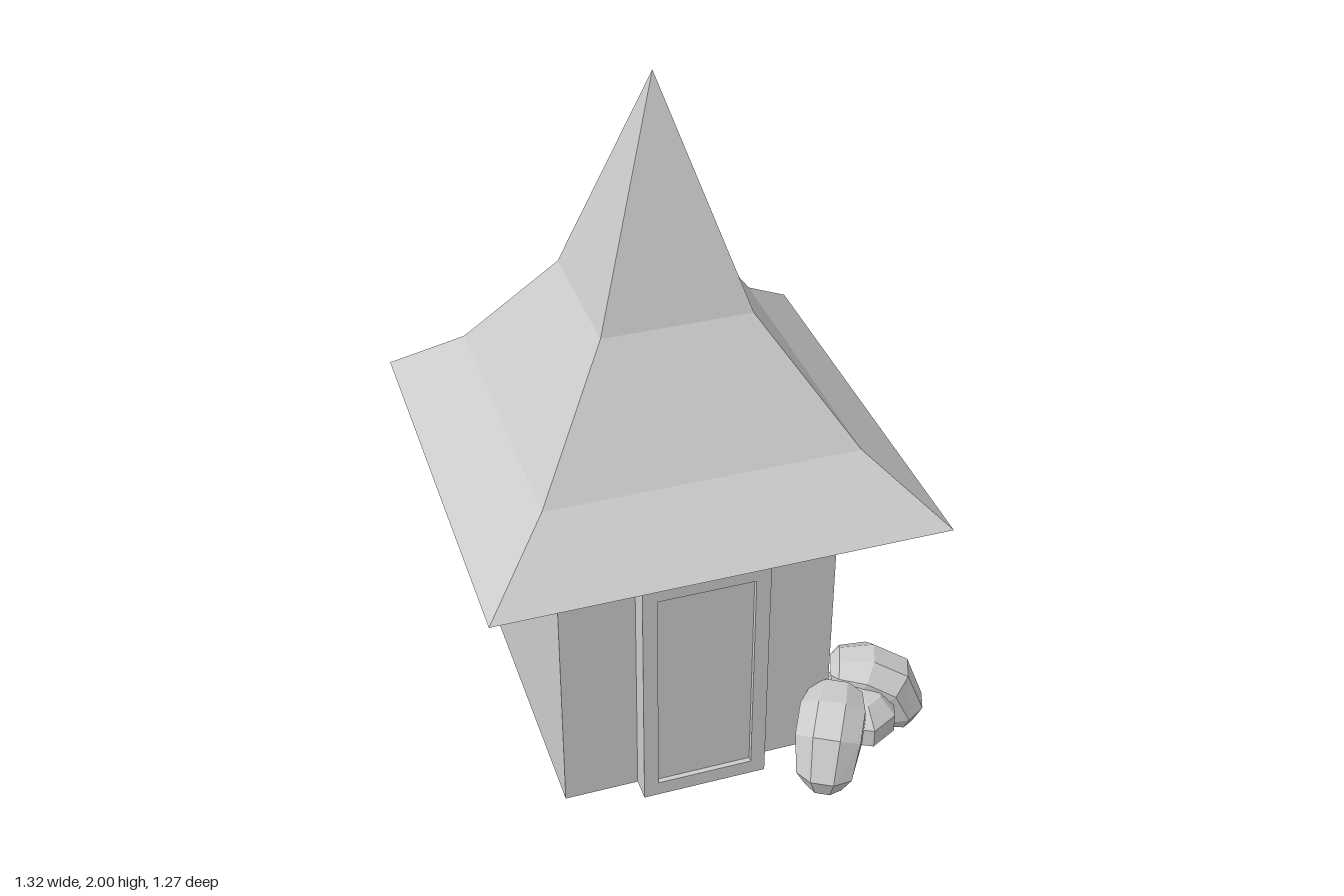
import * as THREE from 'three';

const material = new THREE.MeshStandardMaterial({ color: 0xcccccc, flatShading: true });
const CX = -0.05, CZ = -0.03; // centre of the hut

function add(group, name, geometry, x = 0, y = 0, z = 0) {
  const mesh = new THREE.Mesh(geometry, material);
  mesh.name = name;
  mesh.position.set(x, y, z);
  group.add(mesh);
  return mesh;
}

function rectangle(target, x0, y0, x1, y1) {
  target.moveTo(x0, y0).lineTo(x1, y0).lineTo(x1, y1).lineTo(x0, y1).closePath();
  return target;
}

// Bean-shaped boulder: rings of [outer u, outer y, inner u, inner y, half width],
// with u running along the horizontal direction of lean
const RINGS = [
  [0.025, 0.012, 0.115, 0.01, 0.055],
  [0.0, 0.075, 0.135, 0.045, 0.085],
  [0.05, 0.2, 0.17, 0.09, 0.1],
  [0.15, 0.25, 0.22, 0.12, 0.1],
  [0.25, 0.24, 0.25, 0.14, 0.08],
  [0.275, 0.215, 0.27, 0.165, 0.05],
];

function boulderGeometry(angle) {
  const sides = 8, positions = [], index = [];
  const dx = Math.cos(angle), dz = Math.sin(angle);
  const put = (u, y, w) => positions.push(u * dx - w * dz, y, u * dz + w * dx);
  for (const [ou, oy, iu, iy, width] of RINGS) {
    for (let k = 0; k < sides; k++) {
      const a = ((k + 0.5) / sides) * Math.PI * 2;
      const c = Math.cos(a) / Math.cos(Math.PI / sides) / 2;
      put((ou + iu) / 2 + c * (ou - iu), (oy + iy) / 2 + c * (oy - iy), Math.sin(a) * width);
    }
  }
  const last = RINGS.length - 1;
  for (let k = 0; k < sides; k++) {
    const n = (k + 1) % sides;
    for (let i = 0; i < last; i++) {
      const r = i * sides, s = r + sides;
      index.push(r + k, r + n, s + n, r + k, s + n, s + k);
    }
    // End caps
    if (k > 0 && k < sides - 1) {
      index.push(0, n, k, last * sides, last * sides + k, last * sides + n);
    }
  }
  const geometry = new THREE.BufferGeometry();
  geometry.setAttribute('position', new THREE.Float32BufferAttribute(positions, 3));
  geometry.setIndex(index);
  geometry.computeVertexNormals();
  return geometry;
}

export function createModel() {
  const model = new THREE.Group();
  model.name = 'hut';

  // Square walls
  add(model, 'walls', new THREE.BoxGeometry(0.785, 0.866, 0.79), CX, 0.433, CZ);

  // Flared four-sided roof with a shallow underside
  const profile = [[0, 0.865], [0.395, 0.865], [0.62, 0.885], [0.43, 1.055], [0.205, 1.385], [0, 2]]
    .map(([half, y]) => new THREE.Vector2(half * Math.SQRT2, y));
  add(model, 'roof', new THREE.LatheGeometry(profile, 4), CX, 0, CZ).rotation.y = Math.PI / 4;

  // Door frame with a slightly sunken door
  const frame = rectangle(new THREE.Shape(), -0.18, 0, 0.18, 0.75);
  frame.holes.push(rectangle(new THREE.Path(), -0.138, 0.045, 0.138, 0.71));
  add(model, 'doorFrame', new THREE.ExtrudeGeometry(frame, { depth: 0.07, bevelEnabled: false }), CX, 0, 0.36);
  add(model, 'door', new THREE.BoxGeometry(0.276, 0.665, 0.055), CX, 0.3775, 0.3875);

  // Boulders leaning together at the front corner
  const rocks = new THREE.Group();
  rocks.name = 'boulders';
  model.add(rocks);
  add(rocks, 'frontBoulder', boulderGeometry(-Math.PI / 3), 0.235, 0, 0.605);
  add(rocks, 'sideBoulder', boulderGeometry(-Math.PI * 0.88), 0.64, 0, 0.38);
  const low = add(rocks, 'lowBoulder', new THREE.SphereGeometry(1, 8, 5), 0.43, 0.105, 0.37);
  low.scale.set(0.12, 0.095, 0.15);

  return model;
}
